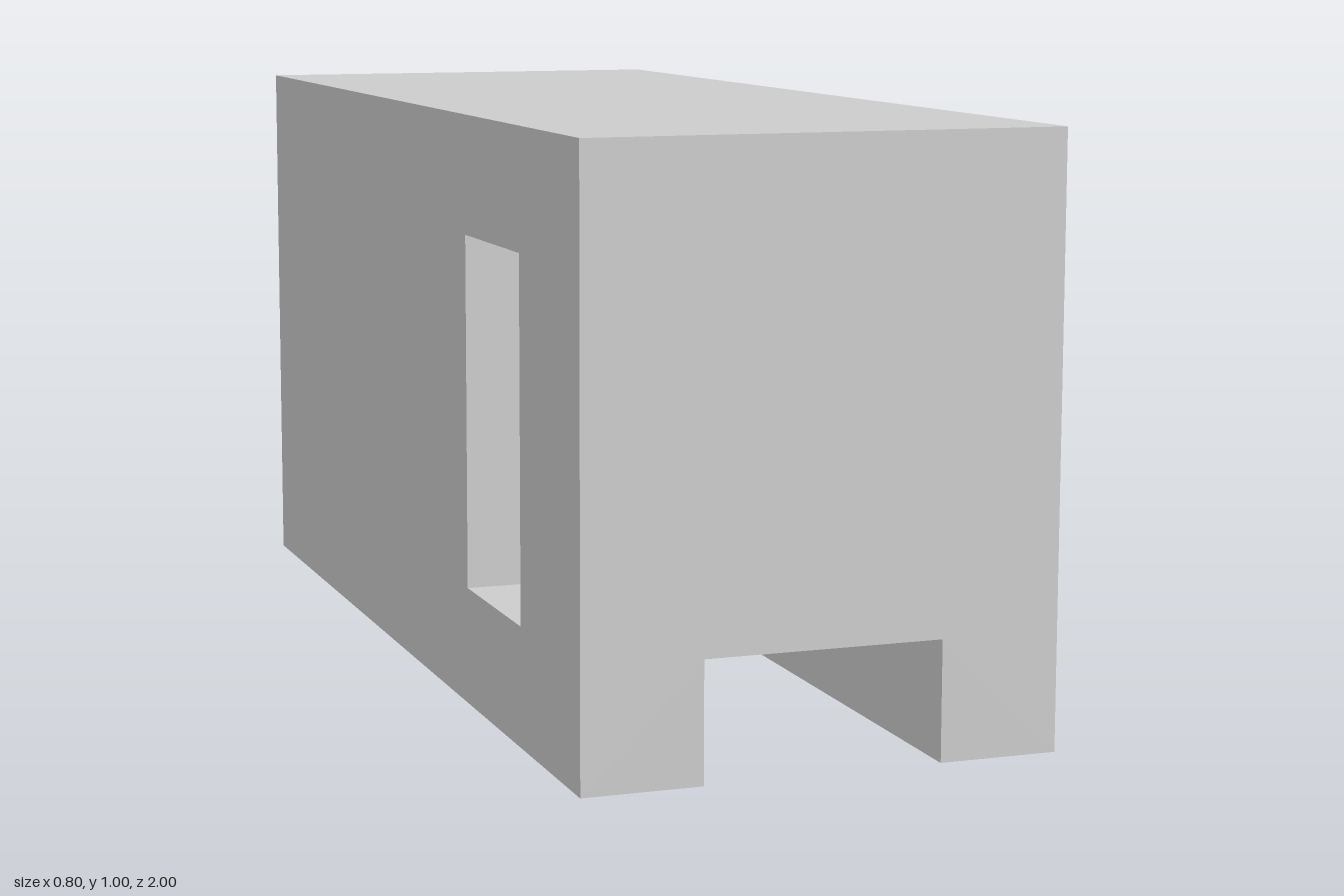
import * as THREE from 'three';

const material = new THREE.MeshStandardMaterial({ color: 0xcccccc, side: THREE.DoubleSide });
const H = Math.PI / 2;

// Flat polygon from corner points, with optional hole
function polygon(points, hole) {
  const toVec = ([a, b]) => new THREE.Vector2(a, b);
  const shape = new THREE.Shape(points.map(toVec));
  if (hole) shape.holes.push(new THREE.Path(hole.map(toVec)));
  return new THREE.ShapeGeometry(shape);
}

const rect = (a0, b0, a1, b1) => [[a0, b0], [a1, b0], [a1, b1], [a0, b1]];

export function createModel() {
  const group = new THREE.Group();
  const add = (name, geometry) => {
    const mesh = new THREE.Mesh(geometry, material);
    mesh.name = name;
    group.add(mesh);
  };
  // Panels in the three main planes
  const facingZ = (name, z, points) => add(name, polygon(points).translate(0, 0, z));
  const facingX = (name, x, points, hole) => {
    // points are (z, y)
    const flip = (list) => list && list.map(([z, y]) => [-z, y]);
    add(name, polygon(flip(points), flip(hole)).rotateY(H).translate(x, 0, 0));
  };
  const facingY = (name, y, points) => {
    // points are (x, z)
    add(name, polygon(points.map(([x, z]) => [x, -z])).rotateX(-H).translate(0, y, 0));
  };

  // Hollow outer shell, end walls notched for the channel
  const end = [[-0.4, 0], [-0.2, 0], [-0.2, 0.2], [0.2, 0.2], [0.2, 0], [0.4, 0], [0.4, 1], [-0.4, 1]];
  facingZ('frontWall', 1, end);
  facingZ('backWall', -1, end);
  facingY('roof', 1, rect(-0.4, -1, 0.4, 1));

  // Inner room, flush with the windows and the channel
  facingZ('roomFront', 0.7, rect(-0.2, 0.2, 0.2, 0.8));
  facingZ('roomBack', 0, rect(-0.2, 0.2, 0.2, 0.8));
  facingY('roomFloor', 0.2, rect(-0.2, 0, 0.2, 0.7));
  facingY('roomCeiling', 0.8, rect(-0.2, 0, 0.2, 0.7));

  for (const [side, s] of [['left', 1], ['right', -1]]) {
    const x0 = Math.min(s * 0.2, s * 0.4);
    const x1 = x0 + 0.2;

    // Outer side wall with window, and its runner
    facingX(side + 'Wall', s * 0.4, rect(-1, 0, 1, 1), rect(0.4, 0.2, 0.7, 0.8));
    facingX(side + 'RunnerInside', s * 0.2, rect(-1, 0, 1, 0.2));
    facingY(side + 'RunnerBottom', 0, rect(x0, -1, x1, 1));

    // Window reveal leading into the room
    facingX(side + 'RoomWall', s * 0.2, rect(0, 0.2, 0.4, 0.8));
    for (const z of [0.4, 0.7]) facingZ(side + 'WindowJamb', z, rect(x0, 0.2, x1, 0.8));
    facingY(side + 'WindowSill', 0.2, rect(x0, 0.4, x1, 0.7));
    facingY(side + 'WindowHead', 0.8, rect(x0, 0.4, x1, 0.7));
  }
  return group;
}
